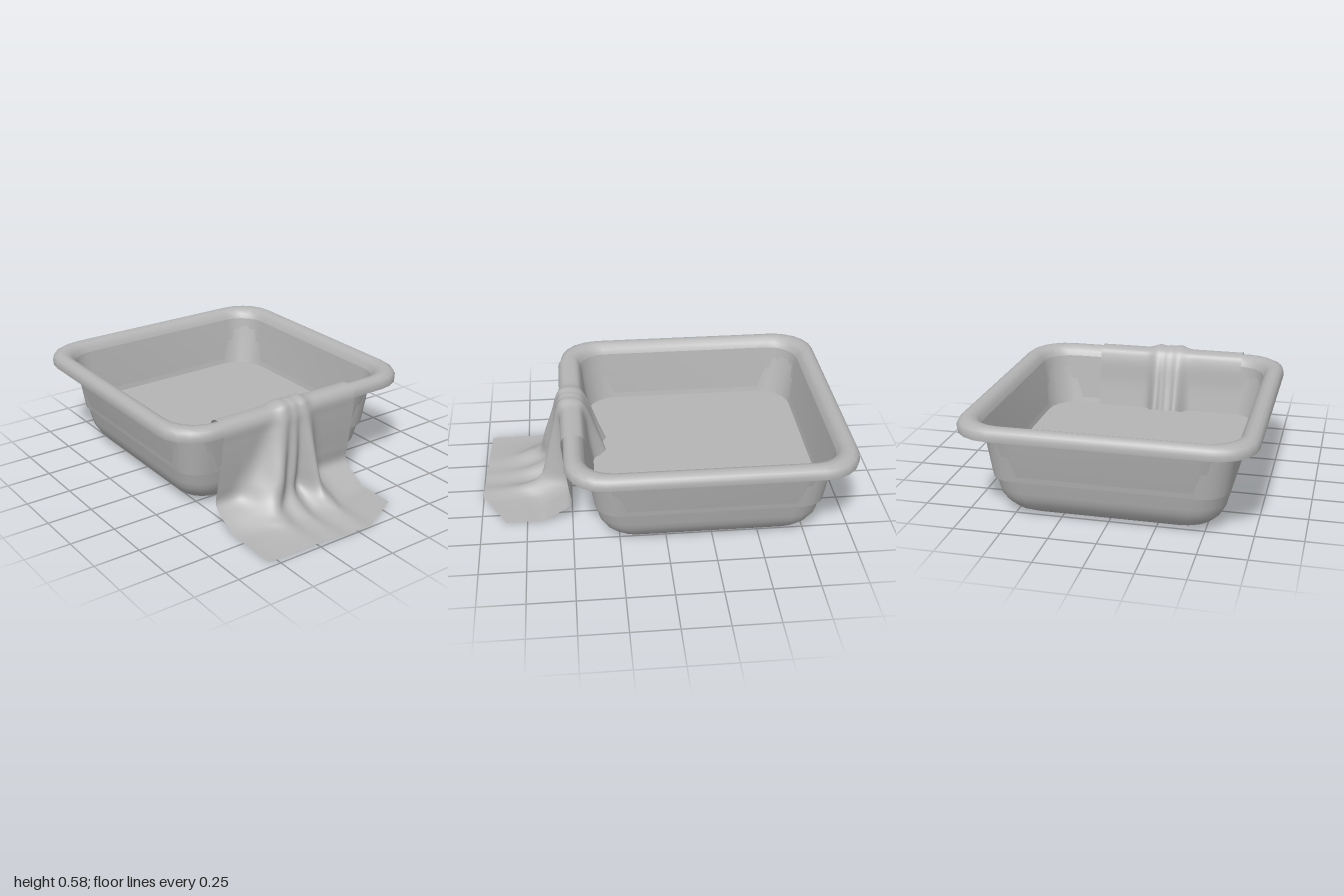
import * as THREE from 'three';
import { toCreasedNormals } from 'three/addons/utils/BufferGeometryUtils.js';

const CX = -0.235; // basin centre in x
const CORNER = 5; // segments per rounded corner

// Joins a grid of points into a surface
function gridGeometry(rows) {
  const n = rows[0].length;
  const index = [];
  for (let i = 0; i < rows.length - 1; i++) {
    for (let j = 0; j < n - 1; j++) {
      const a = i * n + j, b = a + 1, c = a + n, d = c + 1;
      index.push(a, b, c, b, d, c);
    }
  }
  const geo = new THREE.BufferGeometry();
  geo.setAttribute('position', new THREE.Float32BufferAttribute(rows.flat(2), 3));
  geo.setIndex(index);
  return geo;
}

// One rounded-square ring: half width, height, corner radius
function ring([half, y, r]) {
  const pts = [];
  for (let q = 0; q < 4; q++) {
    const sx = q === 0 || q === 3 ? 1 : -1;
    const sz = q < 2 ? -1 : 1;
    for (let k = 0; k <= CORNER; k++) {
      const a = (q + k / CORNER) * Math.PI / 2;
      pts.push([CX + sx * (half - r) + r * Math.cos(a), y, sz * (half - r) - r * Math.sin(a)]);
    }
  }
  pts.push(pts[0]);
  return pts;
}

function ringMesh(name, profile, material) {
  const geo = toCreasedNormals(gridGeometry(profile.map(ring)).toNonIndexed(), 0.75);
  const mesh = new THREE.Mesh(geo, material);
  mesh.name = name;
  return mesh;
}

// Smooth profile in the x-y plane, carried as a curve
const profileCurve = (pts) =>
  new THREE.CatmullRomCurve3(pts.map(([x, y]) => new THREE.Vector3(x, y, 0)), false, 'centripetal');

function clothGeometry() {
  // Flat cloth and fully raised fold, from the inside hem to the outer end
  const flat = profileCurve([
    [0.365, 0.2], [0.393, 0.36], [0.41, 0.5], [0.432, 0.55], [0.478, 0.563], [0.52, 0.555],
    [0.543, 0.52], [0.54, 0.45], [0.527, 0.32], [0.512, 0.2], [0.505, 0.11], [0.57, 0.06],
    [0.68, 0.012], [0.83, 0.008], [1, 0.006],
  ]);
  const fold = profileCurve([
    [0.29, 0.24], [0.335, 0.36], [0.385, 0.5], [0.425, 0.562], [0.485, 0.582], [0.54, 0.568],
    [0.565, 0.52], [0.585, 0.44], [0.62, 0.31], [0.65, 0.2], [0.68, 0.11], [0.72, 0.066],
    [0.79, 0.045], [0.88, 0.03], [1, 0.02],
  ]);
  const bump = (z, c, w) => Math.exp(-(((z - c) / w) ** 2));
  const mix = THREE.MathUtils.lerp;
  const rows = [];
  const NV = 84, NU = 96;
  for (let i = 0; i <= NV; i++) {
    const t = i / NV;
    const a = flat.getPoint(t), b = fold.getPoint(t);
    const drop = THREE.MathUtils.smoothstep(t, 0.36, 0.85); // spreads as it falls
    const ground = THREE.MathUtils.smoothstep(t, 0.8, 1);
    const row = [];
    for (let j = 0; j <= NU; j++) {
      const u = j / NU;
      const z = mix(0.51, -0.34, u) + drop * mix(0.04, 0.01, u);
      // Two main folds and smaller creases between them
      let w = bump(z, mix(0.13, 0.3, drop), mix(0.045, 0.12, drop))
        + 0.95 * bump(z, mix(0.01, -0.03, drop), mix(0.04, 0.065, drop))
        + 0.55 * bump(z, mix(0.07, 0.13, drop), mix(0.025, 0.06, drop));
      w = Math.min(w, 1.05) * (1 - 0.35 * ground);
      w += 0.07 * drop * Math.sin(z * 42 + t * 9) * bump(z, 0.13, 0.24);
      w = Math.max(w, 0);
      // Slanted outer end of the cloth
      const end = z < -0.1 ? mix(0.86, 0.985, (z + 0.34) / 0.24) : mix(1, 0.97, Math.max(z, 0) / 0.55);
      const x = mix(a.x, b.x, w) - (1 - end) * ground;
      const y = Math.max(mix(a.y, b.y, w), 0.004);
      row.push([x, y, z]);
    }
    rows.push(row);
  }
  const geo = gridGeometry(rows);
  geo.computeVertexNormals();
  return geo;
}

export function createModel() {
  const grey = new THREE.MeshStandardMaterial({ color: 0xb4b4b4, side: THREE.DoubleSide });
  grey.name = 'grey';

  const model = new THREE.Group();
  model.name = 'basinWithCloth';

  // Underside and tapered outer wall
  model.add(ringMesh('outerWall', [
    [0, 0, 0], [0.44, 0, 0.1], [0.49, 0.009, 0.12], [0.535, 0.035, 0.14], [0.57, 0.075, 0.15],
    [0.592, 0.115, 0.16], [0.602, 0.15, 0.165], [0.665, 0.49, 0.18],
  ], grey));

  // Rolled rim
  model.add(ringMesh('rim', [
    [0.665, 0.49, 0.18], [0.765, 0.49, 0.21], [0.767, 0.515, 0.21], [0.757, 0.54, 0.205],
    [0.737, 0.553, 0.2], [0.713, 0.556, 0.19], [0.688, 0.547, 0.18], [0.67, 0.527, 0.17],
    [0.658, 0.5, 0.16],
  ], grey));

  // Inner wall and floor
  model.add(ringMesh('innerWall', [[0.658, 0.5, 0.16], [0.616, 0.22, 0.13]], grey));
  model.add(ringMesh('floor', [[0.616, 0.22, 0.13], [0, 0.22, 0]], grey));

  // Cloth draped over the rim and out along the ground
  const cloth = new THREE.Mesh(clothGeometry(), grey);
  cloth.name = 'cloth';
  model.add(cloth);

  return model;
}
